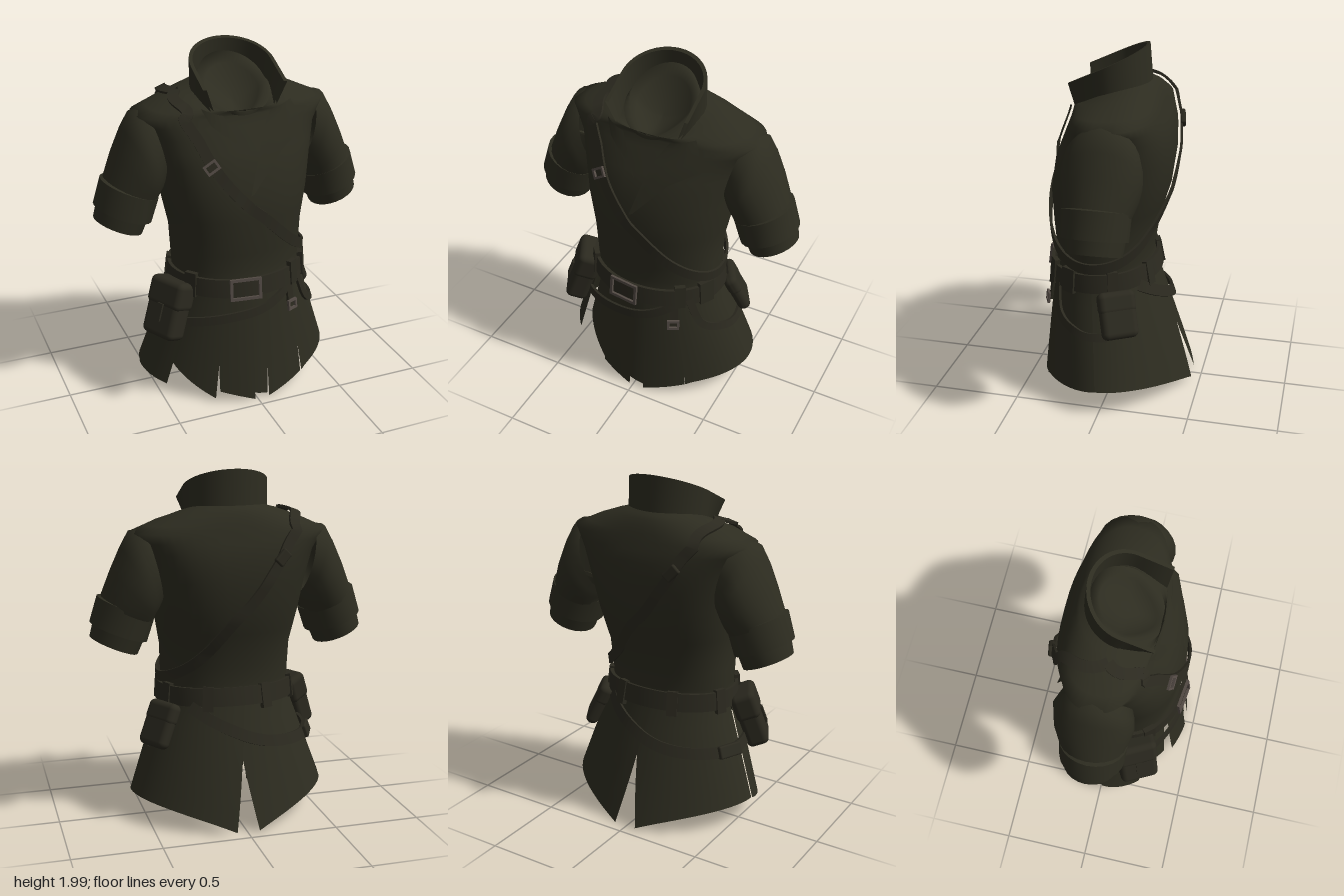
import * as THREE from 'three';
import { toCreasedNormals } from 'three/addons/utils/BufferGeometryUtils.js';
import { RoundedBoxGeometry } from 'three/addons/geometries/RoundedBoxGeometry.js';

const PI = Math.PI, lerp = THREE.MathUtils.lerp;
const V = (x, y, z) => new THREE.Vector3(x, y, z);

// Garment cross-sections: y, half width, front z, back z, roundness, forward droop
const RINGS = [
  [0.00, 0.625, 0.45, -0.455, 1.75, 0], [0.72, 0.37, 0.37, -0.21, 2, 0], [0.80, 0.375, 0.355, -0.195, 2.1, 0],
  [1.00, 0.38, 0.37, -0.225, 2.2, 0], [1.20, 0.415, 0.375, -0.285, 2.3, 0], [1.40, 0.445, 0.335, -0.31, 2.45, 0],
  [1.55, 0.48, 0.27, -0.30, 2.6, 0], [1.66, 0.555, 0.22, -0.265, 2.5, 0], [1.74, 0.40, 0.23, -0.235, 2.2, 0.05],
  [1.79, 0.28, 0.235, -0.2, 2, 0.11], [1.81, 0.21, 0.235, -0.165, 2, 0.15],
];

function ringAt(y) {
  let i = 0;
  while (i < RINGS.length - 2 && y > RINGS[i + 1][0]) i++;
  const a = RINGS[i], b = RINGS[i + 1], t = (y - a[0]) / (b[0] - a[0]);
  return a.map((v, k) => lerp(v, b[k], t));
}

// Point on the garment at an angle (0 = front, PI/2 = left side) and height
function surface(th, y) {
  const [, rx, zf, zb, p, tilt] = ringAt(y);
  const s = Math.sin(th), c = Math.cos(th), e = 2 / p;
  return V(rx * Math.sign(s) * Math.abs(s) ** e, y - tilt * ((1 + c) / 2) ** 2,
    (zf + zb) / 2 + (zf - zb) / 2 * Math.sign(c) * Math.abs(c) ** e);
}
function normalAt(th, y) {
  const across = surface(th + 0.05, y).sub(surface(th - 0.05, y));
  const up = surface(th, Math.min(y + 0.03, 1.81)).sub(surface(th, y - 0.03));
  return across.cross(up).normalize();
}
const body = (th, y, off = 0) => surface(th, y).addScaledVector(normalAt(th, y), off);

// Angle of a front or back point with a given x
function angle(x, y, back) {
  const r = ringAt(y), q = Math.min(1, Math.abs(x) / r[1]);
  const a = Math.sign(x) * Math.asin(q ** (r[4] / 2));
  return back ? PI - a : a;
}
const at = (x, y, back, off = 0.014) => V(angle(x, y, back), y, off);

// Surface through rows of points
function sheet(rows, closed = false, crease = 0) {
  const n = rows[0].length, idx = [];
  for (let i = 0; i < rows.length - 1; i++) {
    for (let j = 0; j < (closed ? n : n - 1); j++) {
      const a = i * n + j, b = i * n + (j + 1) % n;
      idx.push(a, b, b + n, a, b + n, a + n);
    }
  }
  const g = new THREE.BufferGeometry().setFromPoints(rows.flat());
  g.setIndex(idx);
  g.computeVertexNormals();
  return crease ? toCreasedNormals(g, crease) : g;
}
const range = (n, f) => Array.from({ length: n + 1 }, (_, i) => f(i / n));

// Strap lying on the garment; path points hold angle, height, offset
function strap(path, width, thick = 0.016, steps = 48) {
  const curve = new THREE.CatmullRomCurve3(path, false, 'centripetal');
  const pos = t => { const p = curve.getPoint(t); return body(p.x, p.y, p.z); };
  const rows = range(steps, t => {
    const p = curve.getPoint(t), n = normalAt(p.x, p.y), c = pos(t);
    const tan = pos(Math.min(1, t + 0.01)).sub(pos(Math.max(0, t - 0.01))).normalize();
    const side = n.clone().cross(tan).normalize().multiplyScalar(width / 2);
    return [[1, 0], [1, 1], [-1, 1], [-1, 0]].map(([s, h]) =>
      c.clone().addScaledVector(side, s).addScaledVector(n, h * thick));
  });
  return sheet(rows, true, 0.7);
}

// Hanging skirt panel between two top angles and two hem angles
function panel([t0, t1], [b0, b1], hem, off = 0, cols = 14) {
  return sheet(range(8, t => range(cols, u =>
    body(lerp(lerp(b0, b1, u), lerp(t0, t1, u), t), lerp(hem(u), 0.74, t), off))));
}

// Cloth flap on the chest from pairs of left and right x, y points
function flap(pairs, off) {
  return sheet(pairs.slice().reverse().map(([l, r]) => range(5, u => {
    const x = lerp(l[0], r[0], u), y = lerp(l[1], r[1], u);
    return body(angle(x, y), y, off);
  })));
}

// Tube ring between an outer and an inner x, y point
const armRing = ([ox, oy, ix, iy, z, rz]) => range(23, u => {
  const a = u * 23 / 24 * 2 * PI, c = Math.cos(a) / 2;
  return V((ox + ix) / 2 + (ox - ix) * c, (oy + iy) / 2 + (oy - iy) * c, z + rz * Math.sin(a));
});

function frame(w, h, bar, depth) {
  const rect = (P, a, b) => new P([[-a, -b], [a, -b], [a, b], [-a, b]].map(p => new THREE.Vector2(...p)));
  const s = rect(THREE.Shape, w / 2, h / 2);
  s.holes.push(rect(THREE.Path, w / 2 - bar, h / 2 - bar));
  return new THREE.ExtrudeGeometry(s, { depth, bevelEnabled: false });
}

export function createModel() {
  const model = new THREE.Group();
  const mat = (name, color) => {
    const m = new THREE.MeshStandardMaterial({ color, side: THREE.DoubleSide });
    m.name = name;
    return m;
  };
  const cloth = mat('dark olive cloth', 0x2d2c20);
  const leather = mat('dark leather', 0x2b291f);
  const metal = mat('dull metal', 0x544b45);
  const add = (name, geo, m = cloth, parent = model) => {
    const mesh = new THREE.Mesh(geo, m);
    mesh.name = name;
    parent.add(mesh);
    return mesh;
  };
  const place = (obj, th, y, off) => {
    obj.position.copy(body(th, y, off));
    obj.lookAt(obj.position.clone().add(normalAt(th, y)));
    return obj;
  };

  // Torso
  const heights = [0.68, 0.74, 0.8, 0.9, 1, 1.1, 1.2, 1.3, 1.4, 1.48, 1.55, 1.61, 1.66, 1.7, 1.74, 1.77, 1.79, 1.81];
  add('torso', sheet(heights.map(y => range(47, u => surface(u * 47 / 48 * 2 * PI, y))), true));

  // Standing collar, open at the front, and the lining inside it
  const collarRow = (grow, top) => range(32, t => {
    const u = 1 - 2 * t, k = Math.abs(u), a = u / 0.7 * PI / 2, r = 0.24 + grow;
    const x = k > 0.7 ? Math.sign(u) * r : r * Math.sin(a);
    const z = k > 0.7 ? 0.05 + (k - 0.7) / 0.3 * 0.18 : 0.05 - (r - 0.03) * Math.cos(a);
    return top ? V(x, 1.926 - 0.46 * z, z) : V(x * (k > 0.7 ? 0.97 - (k - 0.7) * 0.6 : 0.97), 1.74 - 0.2 * z, z - 0.02);
  });
  add('collar', sheet([collarRow(0, false), collarRow(0, true), collarRow(-0.02, true), collarRow(-0.02, false)], false, 0.7));
  const liningRow = k => range(47, u => {
    const a = u * 47 / 48 * 2 * PI, c = Math.cos(a), z = 0.045 + 0.185 * k * c;
    return V(0.19 * k * Math.sin(a) * (1 - 0.3 * Math.max(0, c)), 1.825 - 0.68 * z - 0.1 * (1 - k * k), z);
  });
  add('neckLining', sheet([range(47, u => surface(u * 47 / 48 * 2 * PI, 1.81)),
    ...[1, 0.8, 0.6, 0.4, 0.2, 0].map(liningRow)], true));

  // Crossed lapels
  add('leftLapel', flap([[[0.14, 1.71], [0.27, 1.73]], [[0.12, 1.64], [0.3, 1.64]], [[0.08, 1.57], [0.32, 1.55]],
    [[0.03, 1.44], [0.17, 1.46]], [[-0.03, 1.25], [-0.01, 1.26]]], 0.022));
  add('rightLapel', flap([[[-0.24, 1.74], [-0.13, 1.7]], [[-0.2, 1.62], [-0.09, 1.58]], [[-0.12, 1.55], [-0.02, 1.45]]], 0.018));

  // Short sleeves with turned-up cuffs
  for (const s of [1, -1]) {
    const arm = new THREE.Group();
    arm.name = s > 0 ? 'leftSleeve' : 'rightSleeve';
    arm.scale.x = s;
    model.add(arm);
    add('upperSleeve', sheet([[0.49, 1.68, 0.39, 1.27, -0.02, 0.19],
      [0.56, 1.67, 0.41, 1.23, -0.02, 0.21],
      [0.61, 1.58, 0.425, 1.21, -0.02, 0.218], [0.67, 1.45, 0.435, 1.19, -0.02, 0.208],
      [0.735, 1.29, 0.445, 1.16, -0.015, 0.18]].map(armRing), true), cloth, arm);
    add('cuff', sheet([[0.72, 1.315, 0.45, 1.19, -0.01, 0.165], [0.745, 1.315, 0.43, 1.185, -0.01, 0.185],
      [0.79, 1.17, 0.475, 1.05, -0.01, 0.18], [0.765, 1.165, 0.5, 1.06, -0.01, 0.155]].map(armRing), true, 0.7), cloth, arm);
    add('sleeveEnd', sheet([[0.77, 1.18, 0.49, 1.07, -0.015, 0.16], [0.793, 1.09, 0.53, 0.98, -0.015, 0.15],
      [0.66, 1.05, 0.66, 1.05, -0.015, 0]].map(armRing), true, 0.7), cloth, arm);
  }

  // Skirt panels, split at the front and the back
  const slope = (a, b, pow = 1) => u => a + (b - a) * u ** pow;
  const fx = (a, b, y) => [angle(a, y), angle(b, y)];
  const front = (name, top, bottom, h0, h1, off) =>
    add(name, panel(fx(...top, 0.74), fx(...bottom, 0.05), slope(h0, h1), off));
  front('leftFrontPanel', [0.05, 0.23], [0.07, 0.31], 0.01, 0.075, 0);
  front('centreStrip', [-0.06, 0.09], [-0.06, 0.07], 0.05, 0.02, -0.02);
  front('rightFrontPanel', [-0.19, -0.01], [-0.22, -0.02], 0.08, 0.01, 0);
  front('recessedPanel', [-0.35, -0.15], [-0.52, -0.24], 0.22, 0.01, -0.05);
  add('leftSidePanel', panel([angle(0.21, 0.74), PI / 2], [angle(0.31, 0.08), PI / 2], slope(0.08, 0.15, 0.6), 0.006));
  add('rightSidePanel', panel([-PI / 2, angle(-0.3, 0.74)], [-PI / 2, angle(-0.48, 0.1)], slope(0.15, 0.1), 0.006));
  add('leftBackPanel', panel([PI / 2, PI + 0.12], [PI / 2, PI - 0.14], slope(0.15, 0.015, 2.5), 0.006));
  add('rightBackPanel', panel([-PI - 0.12, -PI / 2], [-PI + 0.14, -PI / 2], u => 0.15 - 0.135 * (1 - u) ** 2.5, 0));

  // Waist belt with loops and buckle
  add('belt', strap(range(24, u => V(u * 2 * PI, 0.725 - 0.012 * Math.cos(u * 2 * PI), 0.012)), 0.105, 0.02, 72), leather);
  for (const [th, w] of [[-1.0, 0.07], [0.7, 0.06], [1.15, 0.09], [1.95, 0.06], [2.7, 0.06], [-2.7, 0.06], [-1.9, 0.06]]) {
    place(add('beltLoop', new THREE.BoxGeometry(w, 0.14, 0.03), leather), th, 0.725, 0.025);
  }
  place(add('beltBuckle', frame(0.18, 0.125, 0.016, 0.015), metal), angle(-0.06, 0.72), 0.71, 0.032);

  // Shoulder strap running round to the left hip
  add('shoulderStrap', strap([V(-PI / 2, 1.775, 0.012), at(-0.32, 1.68), at(-0.29, 1.58), at(-0.22, 1.43), at(0, 1.16), at(0.26, 0.91),
    V(PI / 2, 0.82, 0.014), at(0.22, 0.95, true), at(0, 1.23, true), at(-0.2, 1.49, true), at(-0.32, 1.66, true),
    V(1.5 * PI, 1.775, 0.012)], 0.06, 0.014, 110), leather);
  const tilted = (name, w, h, x, y, turn) => place(add(name, frame(w, h, 0.013, 0.014), metal), angle(x, y), y, 0.03).rotateZ(turn);
  tilted('frontStrapBuckle', 0.08, 0.06, -0.225, 1.42, 0.6);
  place(add('backStrapBuckle', new RoundedBoxGeometry(0.09, 0.06, 0.03, 2, 0.01), leather),
    angle(-0.22, 1.53, true), 1.53, 0.03).rotateZ(0.8);

  // Slack second belt hanging below the waist
  add('slackFrontBelt', strap([at(-0.35, 0.5), at(-0.15, 0.54), at(0.06, 0.58), at(0.25, 0.69)], 0.05), leather);
  add('slackSideBelt', strap([at(0.28, 0.7), at(0.34, 0.54), V(1.3, 0.45, 0.008), V(1.8, 0.44, 0.008)], 0.045), leather);
  add('slackBackBelt', strap([at(0.25, 0.68, true), at(0.1, 0.58, true), at(-0.15, 0.48, true),
    V(PI * 1.4, 0.45, 0.014), V(PI * 1.56, 0.47, 0.014)], 0.065), leather);
  place(add('beltEnd', new RoundedBoxGeometry(0.15, 0.075, 0.04, 2, 0.01), leather), PI * 1.4, 0.45, 0.025);
  place(add('hangingTab', new THREE.BoxGeometry(0.045, 0.14, 0.014), leather), angle(0.22, 0.6), 0.6, 0.02);
  tilted('hangingBuckle', 0.07, 0.06, 0.22, 0.54, 0);

  // Hip pouches with overhanging lids
  const pouch = (name, th, y, w, h, d, lip) => {
    const g = new THREE.Group();
    g.name = name;
    model.add(g);
    add('pouchBody', new RoundedBoxGeometry(w, h, d, 3, 0.035), leather, g);
    add('pouchLid', new RoundedBoxGeometry(w + lip, h * 0.5, d + lip, 3, 0.035), leather, g).position.y = h * 0.27;
    return place(g, th, y, d / 2).rotateX(-0.1);
  };
  const big = pouch('rightPouch', -1.2, 0.56, 0.23, 0.33, 0.13, 0.014);
  add('pouchTab', new THREE.BoxGeometry(0.04, 0.1, 0.012), leather, big).position.set(0, -0.02, 0.075);
  pouch('leftPouch', 1.98, 0.555, 0.21, 0.26, 0.075, 0.006);

  return model;
}
